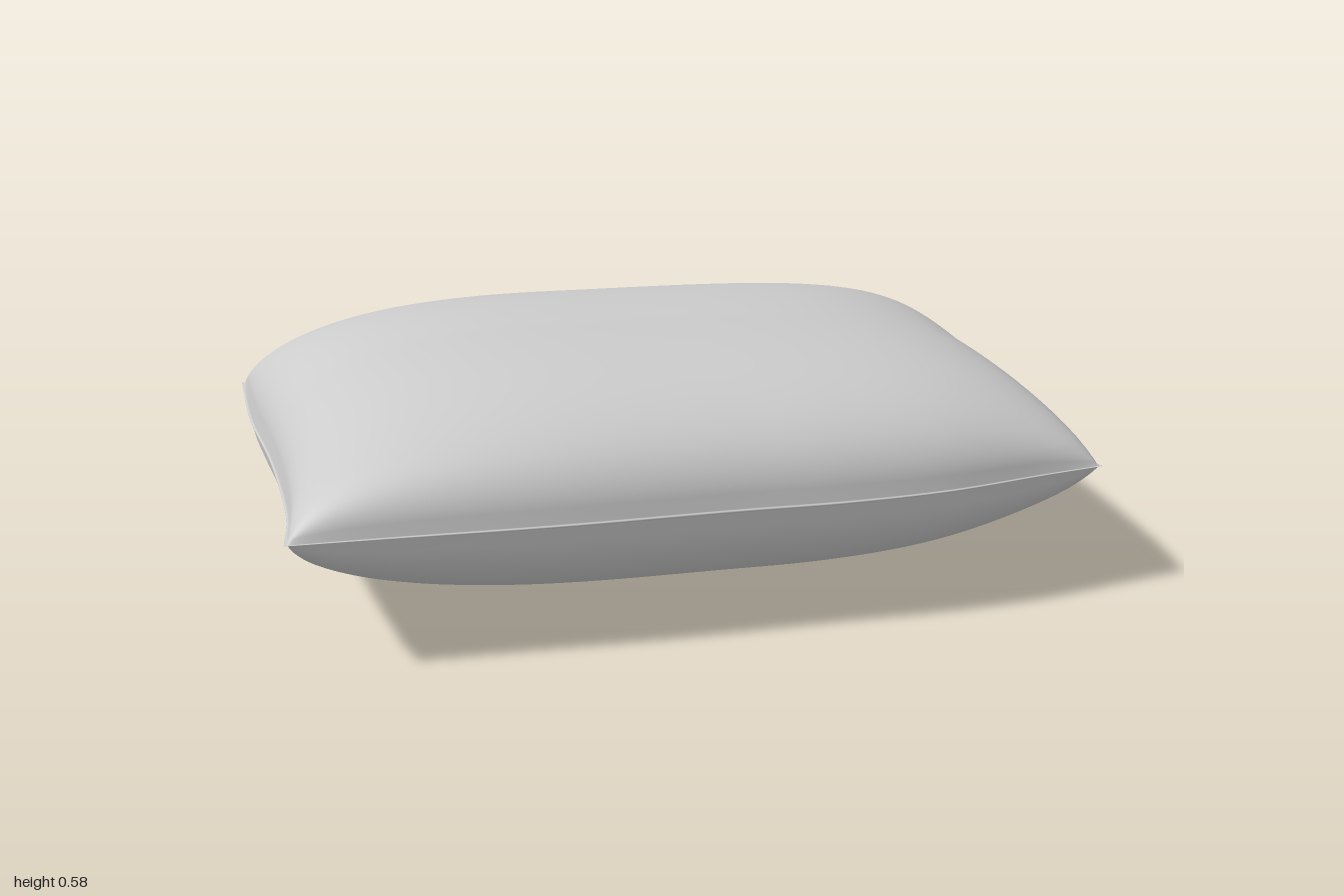
import * as THREE from 'three';
import { mergeGeometries, mergeVertices } from 'three/addons/utils/BufferGeometryUtils.js';

const V = (p) => new THREE.Vector3(...p);
const curve = (pts) => new THREE.CatmullRomCurve3(pts.map(V), false, 'centripetal');

// Seam outline: four wavy edges that meet at the corners
const front = curve([[-1, 0.33, 0.577], [-0.8, 0.329, 0.605], [-0.4, 0.327, 0.662], [0, 0.325, 0.705],
  [0.25, 0.323, 0.735], [0.5, 0.322, 0.748], [0.75, 0.321, 0.732], [0.905, 0.32, 0.724]]);
const back = curve([[-0.93, 0.215, -0.753], [-0.6, 0.215, -0.732], [-0.3, 0.215, -0.695], [0, 0.213, -0.648],
  [0.3, 0.212, -0.612], [0.55, 0.212, -0.595], [0.8, 0.21, -0.6], [0.997, 0.21, -0.612]]);
const left = curve([[0.997, 0.21, -0.612], [0.982, 0.228, -0.4], [0.942, 0.262, 0],
  [0.915, 0.294, 0.4], [0.905, 0.32, 0.724]]);
const right = curve([[-0.93, 0.215, -0.753], [-0.952, 0.243, -0.4], [-0.95, 0.278, 0],
  [-0.97, 0.312, 0.4], [-1, 0.33, 0.577]]);

// Blend the four edges into a surface; s runs along x, t along z
function seamSurface(s, t) {
  const lerp = THREE.MathUtils.lerp;
  const f = front.getPointAt(s), b = back.getPointAt(s);
  const r = right.getPointAt(t), l = left.getPointAt(t);
  const b0 = back.getPointAt(0), b1 = back.getPointAt(1);
  const f0 = front.getPointAt(0), f1 = front.getPointAt(1);
  const mix = (k) => lerp(b[k], f[k], t) + lerp(r[k], l[k], s)
    - lerp(lerp(b0[k], b1[k], s), lerp(f0[k], f1[k], s), t);
  return V(['x', 'y', 'z'].map(mix));
}

// Plump cross-section that stops just short of the seam
const plump = (u, p, q) => Math.pow(Math.max(0, 1 - Math.pow(Math.abs(u) / 0.992, p)), q);

// Thin rounded lip along the seam
const lip = (u, v) => 0.005 * Math.min(1, 8 * Math.sqrt(Math.max(0, (1 - u * u) * (1 - v * v))));

// Filling above the seam: slopes gently towards the back
const topHeight = (u, v) => (0.287 + 0.09 * Math.max(0, -v) - 0.008 * u)
  * plump(u, 3, 0.42) * (v > 0 ? plump(v, 2.8, 0.47) : plump(v, 2, 0.5));

// Filling below the seam: fuller and flatter
const bottomHeight = (u, v) => (0.258 + 0.02 * v)
  * plump(u, 3, 0.4) * plump(v, 2.8, v > 0 ? 0.45 : 0.5);

// One half of the cushion: side is 1 for the top, -1 for the bottom
function half(side, height) {
  const geo = new THREE.PlaneGeometry(2, 2, 80, 80);
  geo.rotateX(-side * Math.PI / 2);
  geo.deleteAttribute('uv');
  geo.deleteAttribute('normal');
  const pos = geo.attributes.position;
  for (let i = 0; i < pos.count; i++) {
    // rows are packed closer together near the edges
    const u = Math.sin(pos.getX(i) * Math.PI / 2);
    const v = Math.sin(pos.getZ(i) * Math.PI / 2);
    const p = seamSurface((u + 1) / 2, (v + 1) / 2);
    p.y += side * (height(u, v) + lip(u, v));
    pos.setXYZ(i, p.x, p.y, p.z);
  }
  return geo;
}

export function createModel() {
  const group = new THREE.Group();
  group.name = 'pillow';
  // weld both halves along the seam for a soft edge
  const geo = mergeVertices(mergeGeometries([half(1, topHeight), half(-1, bottomHeight)]), 1e-5);
  geo.computeVertexNormals();
  const cushion = new THREE.Mesh(geo, new THREE.MeshStandardMaterial({ color: 0xcccccc }));
  cushion.name = 'cushion';
  group.add(cushion);
  return group;
}
